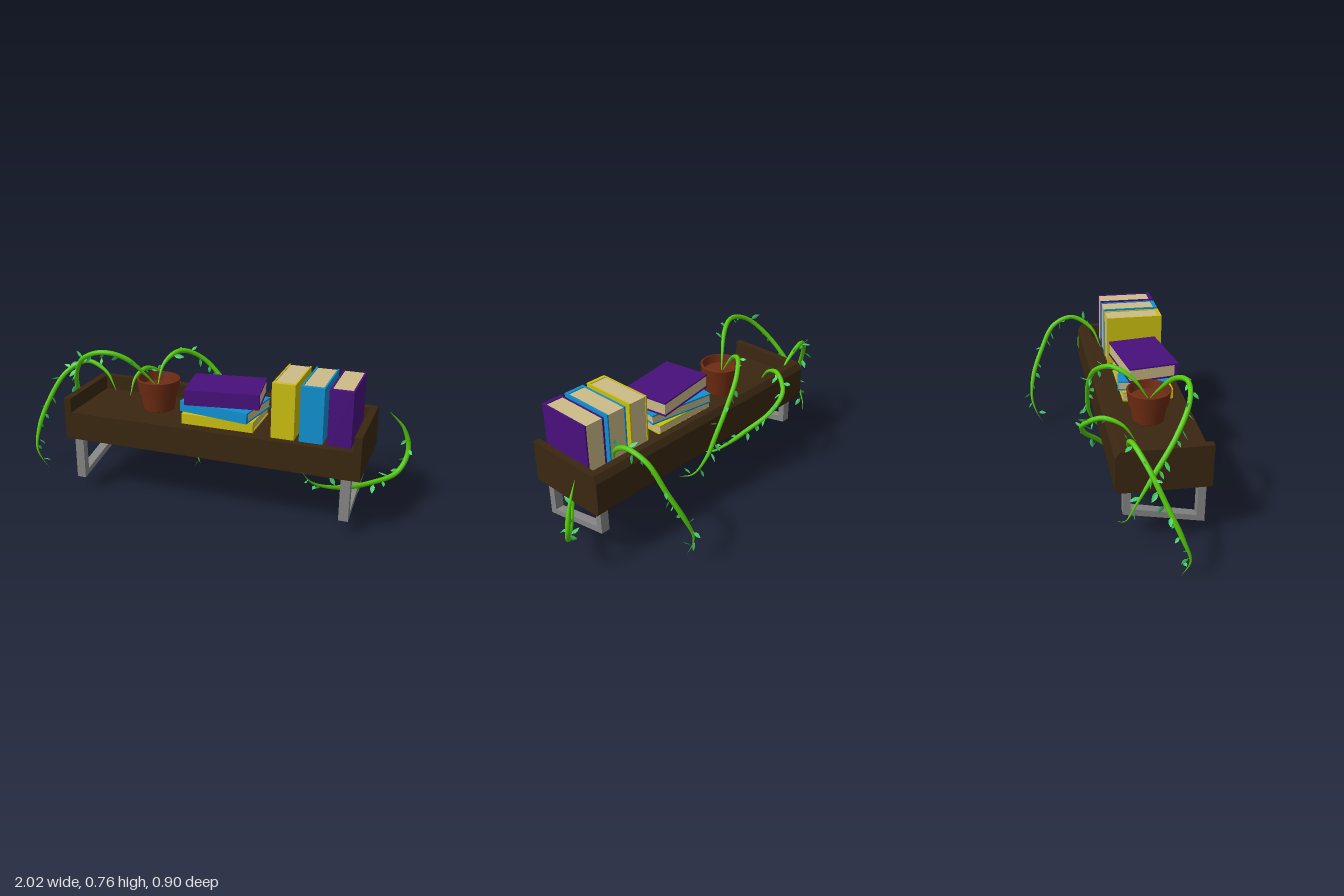
import * as THREE from 'three';

const mat = (color, extra = {}) => {
  const m = new THREE.MeshStandardMaterial({ color });
  return Object.assign(m, extra);
};
const wood = mat(0x3a2711), metal = mat(0x858585), clay = mat(0x6e2c12, { side: THREE.DoubleSide });
const vineMat = mat(0x55cc0a), leafMat = mat(0x45cc6a, { side: THREE.DoubleSide });
const pageMat = mat(0xcdbb88);
const yellow = mat(0xcbbf10), blue = mat(0x1090d0), purple = mat(0x48107c);

let seed = 7;
const rand = () => (seed = (seed * 16807) % 2147483647) / 2147483647;

function add(parent, name, geometry, material, x = 0, y = 0, z = 0) {
  const mesh = new THREE.Mesh(geometry, material);
  mesh.name = name;
  mesh.position.set(x, y, z);
  parent.add(mesh);
  return mesh;
}

// Extrudes a [z, y] outline along x, from x0 to x1
function sideProfile(parent, name, points, x0, x1, material) {
  const shape = new THREE.Shape(points.map(p => new THREE.Vector2(...p)));
  const geo = new THREE.ExtrudeGeometry(shape, { depth: x1 - x0, bevelEnabled: false });
  geo.rotateY(-Math.PI / 2);
  return add(parent, name, geo, material, x1, 0, 0);
}

// Upright book, spine towards +z, centred on its own origin
function makeBook(name, thick, height, depth, cover) {
  const book = new THREE.Group();
  book.name = name;
  const c = 0.008, spine = 0.02;
  for (const s of [-1, 1])
    add(book, 'bookCover', new THREE.BoxGeometry(c, height, depth), cover, s * (thick - c) / 2, 0, 0);
  add(book, 'bookSpine', new THREE.BoxGeometry(thick - 2 * c, height, spine), cover, 0, 0, (depth - spine) / 2);
  add(book, 'bookPages', new THREE.BoxGeometry(thick - 2 * c, height - 0.008, depth - spine - 0.004),
    pageMat, 0, 0, -spine / 2 + 0.002);
  return book;
}

// Pointed leaf folded along its midrib, growing along +y from a short stalk
function makeLeafGeometry() {
  const rows = [[0, 0.001], [0.008, 0.0015], [0.02, 0.01], [0.033, 0.011], [0.046, 0.006], [0.056, 0]];
  const pos = [], index = [];
  rows.forEach(([y, w], i) => {
    const bend = -0.08 * y + 2.5 * y * y;
    pos.push(-w, y, bend + w * 0.35, 0, y, bend, w, y, bend + w * 0.35);
    if (i) for (const k of [0, 1]) {
      const a = (i - 1) * 3 + k, b = a + 3;
      index.push(a, a + 1, b + 1, a, b + 1, b);
    }
  });
  const geo = new THREE.BufferGeometry();
  geo.setAttribute('position', new THREE.Float32BufferAttribute(pos, 3));
  geo.setIndex(index);
  geo.computeVertexNormals();
  return geo;
}
const leafGeo = makeLeafGeometry();

// Tapered stem along a curve, with leaves around it
function makeVine(name, points, leaves) {
  const vine = new THREE.Group();
  vine.name = name;
  const curve = new THREE.CatmullRomCurve3(points.map(p => new THREE.Vector3(...p)));
  const steps = 64, sides = 8;
  const geo = new THREE.TubeGeometry(curve, steps, 0.0125, sides);
  const pos = geo.attributes.position, p = new THREE.Vector3();
  for (let i = 0; i <= steps; i++) {
    const t = i / steps, centre = curve.getPointAt(t);
    const scale = Math.max(0.04, Math.min(1, t / 0.2 + 0.1, (1 - t) / 0.3));
    for (let j = 0; j <= sides; j++) {
      const k = i * (sides + 1) + j;
      p.fromBufferAttribute(pos, k).sub(centre).multiplyScalar(scale).add(centre);
      pos.setXYZ(k, p.x, p.y, p.z);
    }
  }
  add(vine, 'vineStem', geo, vineMat);

  const up = new THREE.Vector3(0, 1, 0);
  for (let i = 0; i < leaves; i++) {
    const t = 0.16 + 0.8 * (i + 0.6 * rand()) / leaves;
    const tangent = curve.getTangentAt(t);
    const out = new THREE.Vector3(rand() - 0.5, rand() - 0.5, rand() - 0.5).cross(tangent).normalize();
    const dir = out.clone().addScaledVector(tangent, 0.7).normalize();
    const leaf = add(vine, 'leaf', leafGeo, leafMat);
    leaf.position.copy(curve.getPointAt(t)).addScaledVector(out, 0.006);
    leaf.quaternion.setFromUnitVectors(up, dir);
    leaf.rotateY(rand() * Math.PI * 2);
    leaf.scale.setScalar(0.7 + 0.4 * rand());
  }
  return vine;
}

export function createModel() {
  const model = new THREE.Group();
  model.name = 'plantShelf';

  // Shelf: end panels and an L-shaped tray with a chamfered back
  const back = [[-0.075, 0.3], [-0.09, 0.32], [-0.09, 0.485], [-0.068, 0.518]];
  const endOutline = [[0.365, 0.3], [0.365, 0.518], ...back.slice().reverse()];
  const trayOutline = [[0.365, 0.3], [0.365, 0.443], [-0.03, 0.443], [-0.03, 0.518], ...back.slice().reverse()];
  sideProfile(model, 'shelfEnd', endOutline, -0.692, -0.655, wood);
  sideProfile(model, 'shelfEnd', endOutline, 0.789, 0.826, wood);
  sideProfile(model, 'shelfTray', trayOutline, -0.655, 0.789, wood);

  // Legs: U-shaped frames with a slanted lower bar
  const legOutline = [[0.347, 0.3], [0.347, 0.078], [-0.046, 0.155], [-0.046, 0.3],
    [-0.01, 0.3], [-0.01, 0.182], [0.308, 0.115], [0.308, 0.3]];
  for (const x of [-0.653, 0.735]) sideProfile(model, 'legFrame', legOutline, x, x + 0.047, metal);

  // Flower pot with a thick rim and a soil floor
  const potProfile = [[0, 0.443], [0.08, 0.443], [0.091, 0.525], [0.1, 0.527], [0.111, 0.603],
    [0.1, 0.606], [0.092, 0.56], [0, 0.56]];
  // Repeated corner points keep the rim edges crisp
  const crisp = potProfile.flatMap(([r, y], i) => {
    const v = new THREE.Vector2(r, y), n = potProfile[i + 1];
    return n ? [v, v.clone().lerp(new THREE.Vector2(...n), 0.03), v.clone().lerp(new THREE.Vector2(...n), 0.97)] : [v];
  });
  add(model, 'flowerPot', new THREE.LatheGeometry(crisp, 32), clay, -0.265, 0, 0.14);

  // Standing books
  [['yellowBook', 0.446, yellow], ['blueBook', 0.582, blue], ['purpleBook', 0.715, purple]].forEach(([name, x, cover]) => {
    const book = makeBook(name, 0.112, 0.272, 0.306, cover);
    book.position.set(x, 0.582, 0.18);
    model.add(book);
  });

  // Stacked books, each turned a little
  [['yellowFlatBook', 0.052, 0.11, 0.469, 0.175, 0, yellow],
   ['blueFlatBook', 0.053, 0.11, 0.523, 0.178, -0.16, blue],
   ['purpleFlatBook', 0.076, 0.115, 0.591, 0.178, 0.15, purple]].forEach(([name, thick, x, y, z, turn, cover]) => {
    const book = makeBook(name, thick, 0.367, 0.262, cover);
    book.position.set(x, y, z);
    book.rotation.set(0, turn, Math.PI / 2);
    model.add(book);
  });

  // Vines
  model.add(
    makeVine('potVineLeft', [[-0.27, 0.55, 0.14], [-0.315, 0.62, 0.175], [-0.4, 0.72, 0.235], [-0.5, 0.752, 0.272],
      [-0.62, 0.71, 0.255], [-0.72, 0.59, 0.175], [-0.775, 0.44, 0.07], [-0.79, 0.3, -0.01], [-0.78, 0.21, -0.055], [-0.735, 0.18, -0.09]], 14),
    makeVine('leftEndVine', [[-0.59, 0.445, -0.01], [-0.65, 0.54, -0.025], [-0.76, 0.593, -0.018], [-0.87, 0.53, 0.03],
      [-0.95, 0.38, 0.1], [-0.988, 0.23, 0.165], [-0.985, 0.12, 0.2], [-0.94, 0.005, 0.175]], 13),
    makeVine('potVineBack', [[-0.275, 0.55, 0.14], [-0.265, 0.66, 0.065], [-0.21, 0.707, -0.025], [-0.12, 0.66, -0.095],
      [-0.02, 0.55, -0.125], [0.06, 0.42, -0.125], [0.12, 0.29, -0.108], [0.165, 0.18, -0.05], [0.2, 0.145, 0.04]], 14),
    makeVine('backVine', [[-0.48, 0.445, 0.04], [-0.475, 0.53, -0.02], [-0.445, 0.56, -0.11], [-0.385, 0.5, -0.195],
      [-0.3, 0.41, -0.185], [-0.2, 0.305, -0.105], [-0.14, 0.21, -0.02], [-0.09, 0.155, 0.05], [-0.04, 0.16, 0.14]], 14),
    makeVine('rightBackVine', [[0.62, 0.45, 0.02], [0.655, 0.56, -0.03], [0.672, 0.628, -0.14], [0.655, 0.59, -0.25],
      [0.62, 0.45, -0.33], [0.57, 0.31, -0.385], [0.525, 0.19, -0.4], [0.508, 0.1, -0.375], [0.515, 0.04, -0.347]], 14),
    makeVine('rightEndVine', [[0.89, 0.512, -0.022], [0.96, 0.42, -0.058], [0.988, 0.3, -0.065], [0.95, 0.205, -0.01],
      [0.84, 0.182, 0.11], [0.71, 0.205, 0.26], [0.61, 0.26, 0.365], [0.565, 0.35, 0.437]], 14),
  );
  return model;
}
